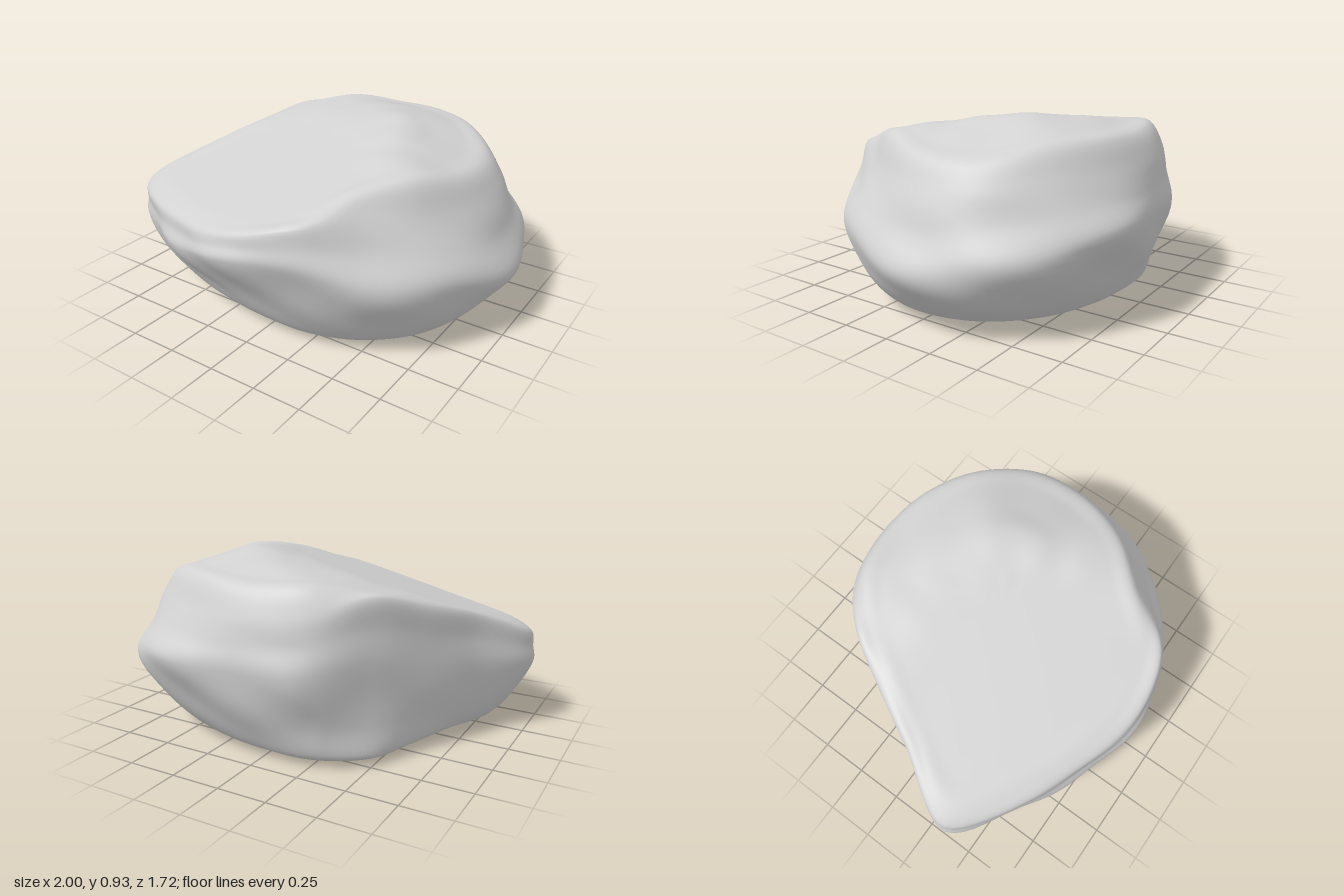
import * as THREE from 'three';
import { mergeVertices } from 'three/addons/utils/BufferGeometryUtils.js';

// Plan radii every 22.5 degrees, from +x towards +z
const FOOT = [.77, .74, .68, .62, .58, .60, .69, .85, .69, .65, .70, .69, .65, .66, .71, .76];
const LOWER = [.92, .86, .79, .72, .69, .71, .82, 1.0, .76, .68, .70, .74, .74, .77, .87, .94];
const BELLY = [.99, .92, .87, .85, .86, .85, .91, 1.067, .80, .71, .72, .81, .83, .91, .97, 1.0];
const BELLY_Y = [.33, .39, .43, .50, .50, .42, .37, .35, .40, .45, .52, .50, .48, .48, .43, .36];
const RIM = [.82, .76, .72, .81, .83, .83, .90, 1.05, .79, .70, .71, .76, .77, .79, .82, .86];
const RIM_Y = [.67, .68, .72, .70, .615, .55, .52, .50, .66, .74, .81, .74, .72, .72, .72, .68];

// Straight flank halfway between belly and rim
const FLANK = RIM.map((r, i) => (r + BELLY[i]) / 2);
const FLANK_Y = RIM_Y.map((y, i) => (y + BELLY_Y[i]) / 2);

// Top made of four facets: front-left slope, flat crown, right slope and back slope
function topHeight(x, z) {
  return Math.min(
    .83 + .2 * x - .25 * z,
    .875 + .16 * x - .05 * z,
    .93 - .32 * (x - .28) + .03 * (z + .2),
    .93 + .22 * (z + .3)
  );
}

// One closed, smoothed outline through the sixteen directions
function ring(radii, scale, heightAt, segments) {
  const points = radii.map((r, i) => {
    const a = (i === 7 ? 159.5 : i * 22.5) * Math.PI / 180;
    const x = r * scale * Math.cos(a), z = r * scale * Math.sin(a);
    return new THREE.Vector3(x, heightAt(x, z, i), z);
  });
  const curve = new THREE.CatmullRomCurve3(points, true, 'centripetal');
  return Array.from({ length: segments }, (_, u) => curve.getPoint(u / segments));
}

// Shallow dents and ledges, strongest low on the flanks and calm on the flat back-left face
function weather(p) {
  const flank = Math.sin(Math.PI * THREE.MathUtils.clamp((p.y - .05) / .6, 0, 1));
  const a = Math.atan2(p.z, p.x);
  const dent = .009 * Math.sin(5 * a + 12 * p.y) + .007 * Math.sin(9 * a - 17 * p.y + 1);
  const calm = p.x < -.3 && p.z < .3 ? .4 : 1;
  const k = 1 + dent * flank * calm;
  p.x *= k;
  p.z *= k;
  return p;
}

function rockGeometry() {
  const U = 128, V = 84;
  const rings = [
    ring(FOOT, .5, () => .008, U),
    ring(FOOT, .92, () => .03, U),
    ring(FOOT, 1, () => .045, U),
    ring(LOWER, 1, () => .2, U),
    ring(BELLY, 1, (x, z, i) => BELLY_Y[i], U),
    ring(FLANK, 1, (x, z, i) => FLANK_Y[i], U),
    ring(RIM, 1, (x, z, i) => RIM_Y[i], U),
    ...[.91, .78, .6, .42, .2].map(s => ring(RIM, s, topHeight, U))
  ];
  const bottom = new THREE.Vector3(0, 0, 0);
  const top = new THREE.Vector3(0, topHeight(0, 0), 0);

  // Smooth each vertical section from the underside to the top
  const positions = [], index = [];
  for (let u = 0; u < U; u++) {
    const section = new THREE.CatmullRomCurve3(
      [bottom, ...rings.map(r => r[u]), top], false, 'centripetal');
    for (let v = 0; v <= V; v++) {
      const p = v === 0 ? bottom : v === V ? top : weather(section.getPoint(v / V));
      positions.push(p.x, p.y, p.z);
      if (v === V) continue;
      const a = u * (V + 1) + v, b = ((u + 1) % U) * (V + 1) + v;
      if (v < V - 1) index.push(a, a + 1, b + 1);
      if (v > 0) index.push(a, b + 1, b);
    }
  }
  let g = new THREE.BufferGeometry();
  g.setAttribute('position', new THREE.Float32BufferAttribute(positions, 3));
  g.setIndex(index);
  g = mergeVertices(g, 1e-5);
  g.computeVertexNormals();
  return g;
}

export function createModel() {
  const stoneGrey = new THREE.MeshStandardMaterial({ color: 0xd2d2d2 });
  stoneGrey.name = 'stone grey';
  const boulder = new THREE.Mesh(rockGeometry(), stoneGrey);
  boulder.name = 'boulder';
  const group = new THREE.Group();
  group.name = 'rock';
  group.add(boulder);
  return group;
}
